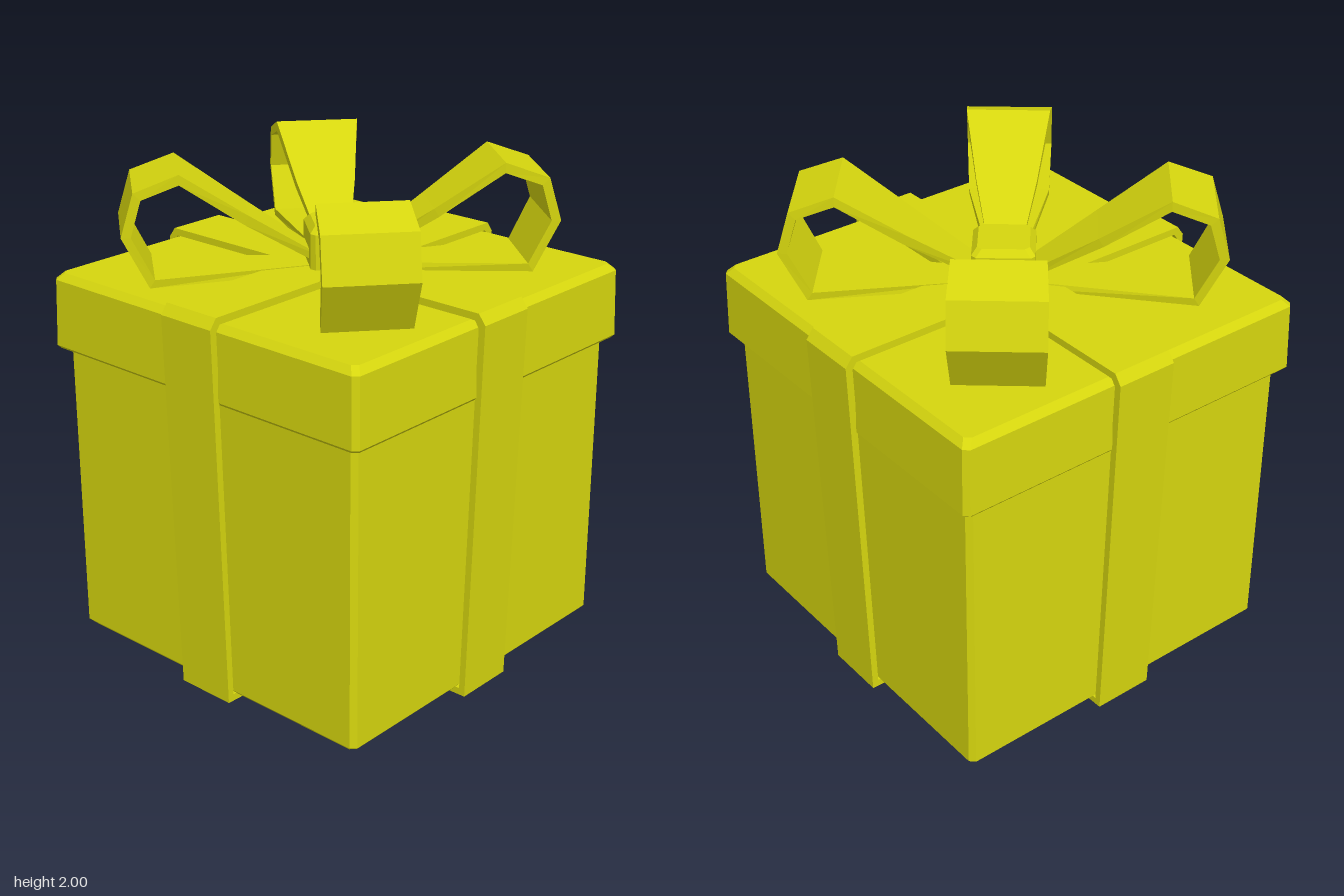
import * as THREE from 'three';

const yellow = new THREE.MeshStandardMaterial({ color: 0xd6d60e, flatShading: true });
yellow.name = 'yellow';

// Skin a list of equal-length rings; closed joins last to first, otherwise ends are capped
function loft(rings, closed) {
  const pos = [];
  const tri = (a, b, c) => pos.push(...a, ...b, ...c);
  const n = rings[0].length;
  const last = closed ? rings.length : rings.length - 1;
  for (let i = 0; i < last; i++) {
    const lo = rings[i], hi = rings[(i + 1) % rings.length];
    for (let j = 0; j < n; j++) {
      const k = (j + 1) % n;
      tri(lo[j], hi[j], hi[k]);
      tri(lo[j], hi[k], lo[k]);
    }
  }
  if (!closed) {
    const bottom = rings[0], top = rings[rings.length - 1];
    for (let j = 1; j < n - 1; j++) {
      tri(bottom[0], bottom[j], bottom[j + 1]);
      tri(top[0], top[j + 1], top[j]);
    }
  }
  const geo = new THREE.BufferGeometry();
  geo.setAttribute('position', new THREE.Float32BufferAttribute(pos, 3));
  geo.computeVertexNormals();
  return geo;
}

// Square block with chamfered corners from [height, halfSize] levels
function block(levels, c) {
  return loft(levels.map(([y, h]) => {
    const i = h - c;
    return [[h, y, -i], [h, y, i], [i, y, h], [-i, y, h], [-h, y, i], [-h, y, -i], [-i, y, -h], [i, y, -h]];
  }), false);
}

// Closed strap from [outerX, outerY, innerX, innerY, halfWidth] stations, counterclockwise
function strap(stations) {
  return loft(stations.map(([ox, oy, ix, iy, w]) =>
    [[ox, oy, -w], [ox, oy, w], [ix, iy, w], [ix, iy, -w]]), true);
}

export function createModel() {
  const model = new THREE.Group();
  model.name = 'giftBox';
  const add = (name, geo, turn = 0) => {
    const mesh = new THREE.Mesh(geo, yellow);
    mesh.name = name;
    mesh.rotation.y = turn;
    model.add(mesh);
    return mesh;
  };

  // Box and its overhanging lid
  add('box', block([[0.04, 0.72], [0.062, 0.741], [1.3, 0.741]], 0.02));
  add('lid', block([[1.262, 0.772], [1.274, 0.782], [1.54, 0.775], [1.567, 0.75]], 0.02));

  // Two ribbons wrapped around the box
  const w = 0.126;
  const right = [
    [0.77, 0.018, 0.744, 0.046, w],
    [0.812, 1.555, 0.783, 1.54, w],
    [0.782, 1.595, 0.765, 1.566, w],
  ];
  const left = right.map(([ox, oy, ix, iy, h]) => [-ox, oy, -ix, iy, h]).reverse();
  const ribbon = strap([...right, ...left, [0, 0, 0, 0.036, w]]);
  add('sideRibbon', ribbon);
  add('frontRibbon', ribbon, Math.PI / 2).position.y = 0.002;

  // Four bow loops, widening away from the knot
  const tilt = THREE.MathUtils.degToRad(50);
  const loop = strap([
    [0.04, 1.57, 0.07, 1.6, 0.05],
    [0.73, 1.57, 0.71, 1.602, 0.165],
    [0.83, 1.77, 0.793, 1.77, 0.172],
    [0.78, 1.938, 0.752, 1.91, 0.172],
    [0.61, 2.0, 0.61, 1.96, 0.165],
    [0.35, 1.82, 0.37, 1.787, 0.118],
    [0.05, 1.62, 0.085, 1.604, 0.05],
  ]);
  for (let i = 0; i < 4; i++) add('bowLoop', loop, tilt + i * Math.PI / 2);

  // Knot
  add('knot', block([[1.565, 0.12], [1.735, 0.12], [1.762, 0.098]], 0.018), tilt);

  return model;
}
